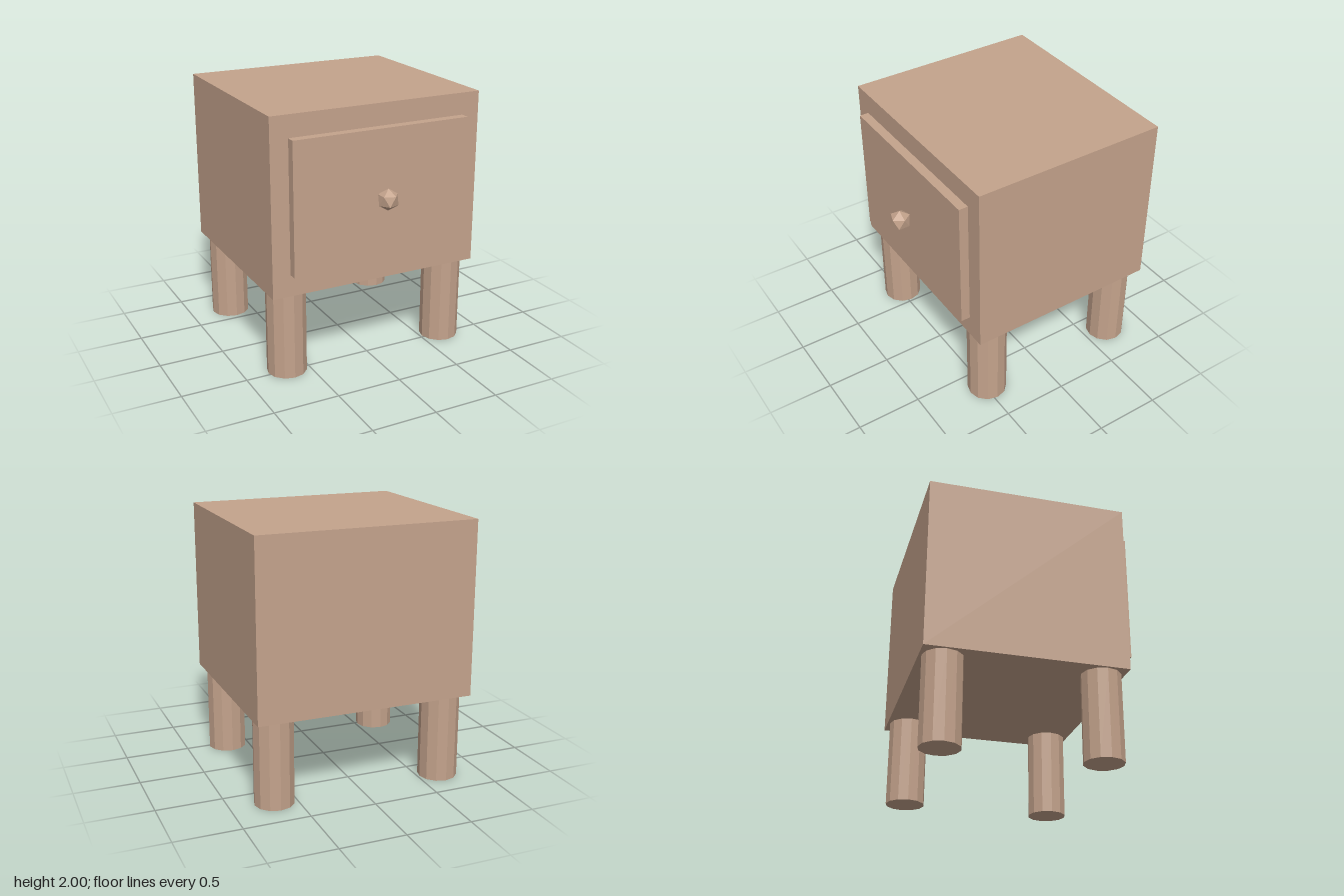
import * as THREE from 'three';

export function createModel() {
  const group = new THREE.Group();
  group.name = 'nightstand';

  const wood = new THREE.MeshStandardMaterial({ color: 0xc4a38c });
  wood.name = 'wood';
  wood.flatShading = true;

  const add = (name, geometry, x, y, z) => {
    const mesh = new THREE.Mesh(geometry, wood);
    mesh.name = name;
    mesh.position.set(x, y, z);
    group.add(mesh);
  };

  // Cabinet and raised drawer front
  add('cabinet', new THREE.BoxGeometry(1.67, 1.33, 1.5), 0, 1.335, -0.11);
  add('drawerFront', new THREE.BoxGeometry(1.395, 1, 0.07), 0, 1.335, 0.675);

  // Faceted knob, turned so that one corner points straight up
  const knob = new THREE.IcosahedronGeometry(0.082, 0);
  knob.rotateZ(-Math.atan(2 / (1 + Math.sqrt(5))));
  add('drawerKnob', knob, 0, 1.335, 0.79);

  // Four twelve-sided legs
  const leg = new THREE.CylinderGeometry(0.15, 0.15, 0.67, 12);
  for (const [side, x] of [['Left', 0.667], ['Right', -0.667]]) {
    add('front' + side + 'Leg', leg, x, 0.335, 0.475);
    add('back' + side + 'Leg', leg, x, 0.335, -0.69);
  }

  return group;
}
